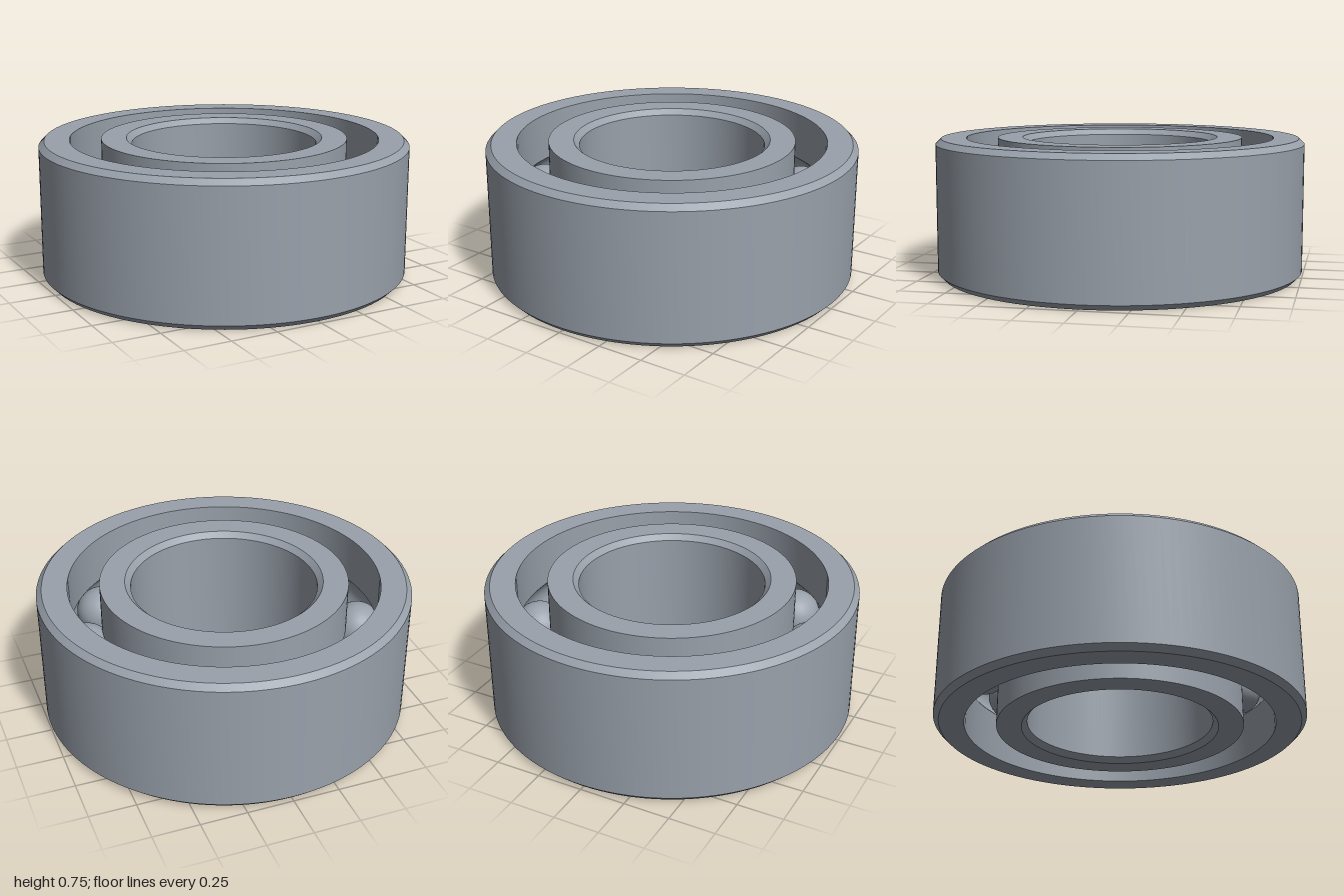
import * as THREE from 'three';
import { toCreasedNormals } from 'three/addons/utils/BufferGeometryUtils.js';

const HEIGHT = 0.75;
const CHAMFER = 0.03;
const PITCH = 0.75;         // radius of the circle of ball centres
const BALL_RADIUS = 0.139;
const GROOVE_RADIUS = 0.141;
const HALF_GAP = 0.085;     // from the pitch circle to each ring's shoulder
const BALL_COUNT = 12;

// Raceway arc, swept clockwise around the ball centre; mid is its middle angle
function raceway(mid) {
  const half = Math.acos(HALF_GAP / GROOVE_RADIUS);
  const steps = 12;
  const points = [];
  for (let i = 0; i <= steps; i++) {
    const a = mid + half - (2 * half * i) / steps;
    points.push([PITCH + GROOVE_RADIUS * Math.cos(a), HEIGHT / 2 + GROOVE_RADIUS * Math.sin(a)]);
  }
  return points;
}

// Revolves a closed counter-clockwise (radius, y) profile
function ring(name, profile, material) {
  const points = [...profile, profile[0]].map(([r, y]) => new THREE.Vector2(r, y));
  const geometry = toCreasedNormals(new THREE.LatheGeometry(points, 128), 0.5);
  const mesh = new THREE.Mesh(geometry, material);
  mesh.name = name;
  return mesh;
}

export function createModel() {
  const steel = new THREE.MeshStandardMaterial({ color: 0x99a1ab });
  steel.name = 'steel';

  const model = new THREE.Group();
  model.name = 'ballBearing';

  // Outer ring: chamfered outside, grooved inside
  const outerShoulder = PITCH + HALF_GAP;
  model.add(ring('outerRing', [
    [1 - CHAMFER, 0], [1, CHAMFER], [1, HEIGHT - CHAMFER], [1 - CHAMFER, HEIGHT],
    [outerShoulder, HEIGHT], ...raceway(0), [outerShoulder, 0],
  ], steel));

  // Inner ring: grooved outside, chamfered bore
  const innerShoulder = PITCH - HALF_GAP;
  const bore = 0.5;
  model.add(ring('innerRing', [
    [innerShoulder, 0], ...raceway(Math.PI), [innerShoulder, HEIGHT],
    [bore + CHAMFER, HEIGHT], [bore, HEIGHT - CHAMFER], [bore, CHAMFER], [bore + CHAMFER, 0],
  ], steel));

  // Balls evenly spaced between the rings
  const balls = new THREE.Group();
  balls.name = 'balls';
  const ballGeometry = new THREE.SphereGeometry(BALL_RADIUS, 40, 24);
  for (let i = 0; i < BALL_COUNT; i++) {
    const a = THREE.MathUtils.degToRad(12) + (i * 2 * Math.PI) / BALL_COUNT;
    const ball = new THREE.Mesh(ballGeometry, steel);
    ball.name = `ball${i + 1}`;
    ball.position.set(PITCH * Math.cos(a), HEIGHT / 2, PITCH * Math.sin(a));
    balls.add(ball);
  }
  model.add(balls);

  return model;
}
